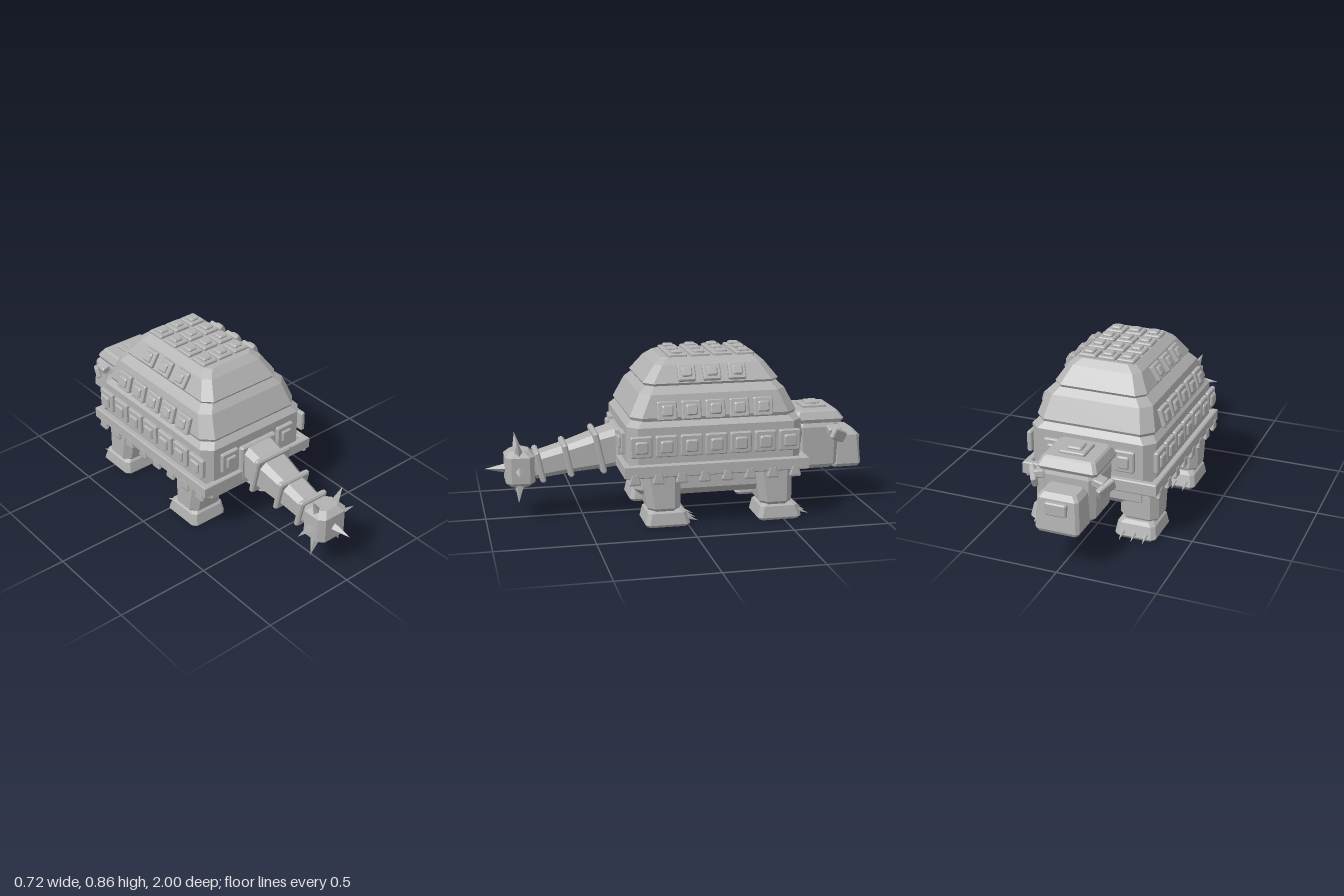
import * as THREE from 'three';

const grey = new THREE.MeshStandardMaterial({ color: 0xb2b2b2 });
grey.name = 'stoneGrey';

function flat(geo) {
  const g = geo.index ? geo.toNonIndexed() : geo;
  g.computeVertexNormals();
  return g;
}

function add(parent, name, geo) {
  const m = new THREE.Mesh(flat(geo), grey);
  m.name = name;
  parent.add(m);
  return m;
}

// Stack of corner-cut rectangles: each ring is [y, x0, x1, z0, z1, cut]
function loft(rings) {
  const pos = [], idx = [];
  for (const [y, x0, x1, z0, z1, c] of rings) {
    for (const [x, z] of [[x1, z0 + c], [x1, z1 - c], [x1 - c, z1], [x0 + c, z1],
      [x0, z1 - c], [x0, z0 + c], [x0 + c, z0], [x1 - c, z0]]) pos.push(x, y, z);
  }
  const last = (rings.length - 1) * 8;
  for (let r = 0; r < last; r += 8) {
    for (let i = 0; i < 8; i++) {
      const j = (i + 1) % 8;
      idx.push(r + i, r + 8 + i, r + 8 + j, r + i, r + 8 + j, r + j);
    }
  }
  for (let i = 1; i < 7; i++) idx.push(0, i, i + 1, last, last + i + 1, last + i);
  const g = new THREE.BufferGeometry();
  g.setAttribute('position', new THREE.Float32BufferAttribute(pos, 3));
  g.setIndex(idx);
  return g;
}

// Box with all edges cut, standing between y0 and y1
function cutBox(x0, x1, y0, y1, z0, z1, c) {
  const a = [x0 + c, x1 - c, z0 + c, z1 - c, c], b = [x0, x1, z0, z1, c];
  return loft([[y0, ...a], [y0 + c, ...b], [y1 - c, ...b], [y1, ...a]]);
}

// Square armour plate with a raised stud, facing local +y
function studPlate(parent, name, w, d, p, rx = 0, rz = 0, h = 0.02) {
  const g = new THREE.Group();
  g.name = name;
  add(g, 'plate', cutBox(-w / 2, w / 2, -0.005, h, -d / 2, d / 2, 0.005));
  add(g, 'stud', cutBox(-w * 0.29, w * 0.29, h - 0.005, h + 0.013, -d * 0.29, d * 0.29, 0.006));
  g.position.set(...p);
  g.rotation.set(rx, 0, rz);
  parent.add(g);
}

// Pointed cone from a base point to a tip
function spike(parent, name, from, to, r, sides = 4) {
  const a = new THREE.Vector3(...from), b = new THREE.Vector3(...to);
  const dir = b.clone().sub(a);
  const m = add(parent, name, new THREE.ConeGeometry(r, dir.length(), sides));
  m.position.copy(a).addScaledVector(dir, 0.5);
  m.quaternion.setFromUnitVectors(new THREE.Vector3(0, 1, 0), dir.normalize());
}

function buildShell(root) {
  add(root, 'belly', cutBox(-0.29, 0.29, 0.15, 0.36, -0.55, 0.27, 0.04));
  add(root, 'lowerShell', loft([
    [0.28, -0.325, 0.325, -0.59, 0.31, 0.05], [0.52, -0.325, 0.325, -0.59, 0.31, 0.05],
    [0.553, -0.295, 0.295, -0.56, 0.28, 0.05]]));
  add(root, 'middleShell', loft([
    [0.545, -0.3, 0.3, -0.56, 0.28, 0.05], [0.565, -0.308, 0.308, -0.57, 0.29, 0.055],
    [0.675, -0.277, 0.277, -0.515, 0.235, 0.05], [0.71, -0.235, 0.235, -0.48, 0.2, 0.04]]));
  add(root, 'upperShell', loft([
    [0.705, -0.23, 0.23, -0.48, 0.2, 0.04], [0.722, -0.24, 0.24, -0.49, 0.21, 0.045],
    [0.805, -0.19, 0.19, -0.425, 0.145, 0.035], [0.836, -0.148, 0.148, -0.39, 0.105, 0.03]]));

  // Hollow belt around the lower shell
  const outline = (x, z) => [[-x, -z], [x, -z], [x, z], [-x, z]].map(p => new THREE.Vector2(...p));
  const shape = new THREE.Shape(outline(0.347, 0.47));
  shape.holes.push(new THREE.Path(outline(0.322, 0.445)));
  const belt = new THREE.ExtrudeGeometry(shape, {
    depth: 0.055, bevelEnabled: true, bevelSize: 0.005, bevelThickness: 0.005, bevelSegments: 1 });
  belt.rotateX(-Math.PI / 2);
  add(root, 'belt', belt).position.set(0, 0.275, -0.142);

  // Armour plates on top, sides and ends
  for (let r = 0; r < 4; r++) {
    for (const x of [-0.1, 0, 0.1]) studPlate(root, 'topPlate', 0.09, 0.095, [x, 0.833, -0.33 + r * 0.117], 0, 0, 0.018);
  }
  for (const s of [-1, 1]) {
    const row = (name, n, gap, w, h, x, y, tilt) => {
      for (let i = 0; i < n; i++) {
        studPlate(root, name, h, w, [s * x, y, -0.135 + (i - (n - 1) / 2) * gap], 0, -s * tilt);
      }
    };
    row('lowerSidePlate', 7, 0.127, 0.11, 0.108, 0.325, 0.427, Math.PI / 2);
    row('middleSidePlate', 5, 0.123, 0.1, 0.095, 0.3, 0.597, 1.3);
    row('upperSidePlate', 3, 0.13, 0.09, 0.085, 0.22, 0.765, 1.02);
    studPlate(root, 'frontPlate', 0.105, 0.11, [s * 0.183, 0.427, 0.31], Math.PI / 2);
    studPlate(root, 'backPlate', 0.105, 0.11, [s * 0.183, 0.427, -0.59], -Math.PI / 2);

    // Fringe of flared tabs below the belt
    for (let i = 0; i < 8; i++) {
      const tab = loft([
        [0.236, -0.007, 0.007, -0.026, 0.026, 0.004], [0.245, -0.01, 0.01, -0.03, 0.03, 0.004],
        [0.29, -0.01, 0.01, -0.017, 0.017, 0.004]]);
      add(root, 'fringeTab', tab).position.set(s * 0.346, 0, 0.28 - i * 0.118);
    }
  }
}

function buildLegs(root) {
  for (const s of [-1, 1]) {
    for (const z of [0.13, -0.455]) {
      const leg = new THREE.Group();
      leg.name = z > 0 ? 'frontLeg' : 'backLeg';
      leg.position.set(s * 0.23, 0, z);
      add(leg, 'shin', loft([
        [0.08, -0.085, 0.085, -0.08, 0.065, 0.03], [0.1, -0.1, 0.1, -0.09, 0.08, 0.035],
        [0.31, -0.1, 0.1, -0.09, 0.115, 0.035]]));
      add(leg, 'foot', loft([
        [0, -0.09, 0.09, -0.125, 0.08, 0.015], [0.016, -0.107, 0.107, -0.137, 0.093, 0.02],
        [0.075, -0.098, 0.098, -0.118, 0.08, 0.02], [0.09, -0.08, 0.08, -0.1, 0.065, 0.02]]));
      for (const x of [-0.06, 0, 0.06]) spike(leg, 'claw', [x, 0.043, -0.115], [x, 0.014, -0.186], 0.013, 6);
      root.add(leg);
    }
  }
}

function buildHead(root) {
  const head = new THREE.Group();
  head.name = 'head';
  add(head, 'neck', cutBox(-0.11, 0.11, 0.25, 0.46, -0.66, -0.56, 0.02));
  add(head, 'skull', loft([
    [0.2, -0.105, 0.105, -0.835, -0.65, 0.025], [0.225, -0.13, 0.13, -0.855, -0.63, 0.03],
    [0.43, -0.14, 0.14, -0.855, -0.62, 0.03], [0.47, -0.12, 0.12, -0.84, -0.63, 0.03]]));
  add(head, 'browCap', loft([
    [0.455, -0.145, 0.145, -0.86, -0.61, 0.015], [0.475, -0.153, 0.153, -0.872, -0.605, 0.015],
    [0.512, -0.135, 0.135, -0.845, -0.62, 0.015], [0.52, -0.125, 0.125, -0.835, -0.63, 0.015]]));
  studPlate(head, 'crownPlate', 0.13, 0.13, [0, 0.515, -0.735]);
  add(head, 'snout', loft([
    [0.197, -0.1, 0.1, -0.98, -0.84, 0.012], [0.215, -0.113, 0.113, -0.99, -0.84, 0.015],
    [0.37, -0.105, 0.105, -0.975, -0.84, 0.015], [0.395, -0.085, 0.085, -0.955, -0.85, 0.015]]));
  add(head, 'nosePlate', cutBox(-0.055, 0.055, 0.295, 0.36, -0.998, -0.96, 0.006));
  for (const s of [-1, 1]) {
    // Bent brow horn: a short arm with a drooping flap
    const arm = add(head, 'hornArm', cutBox(-0.03, 0.03, -0.02, 0.02, -0.035, 0.035, 0.006));
    arm.position.set(s * 0.15, 0.415, -0.815);
    arm.rotation.z = -s * 0.25;
    const flap = add(head, 'hornFlap', cutBox(-0.014, 0.014, -0.03, 0.03, -0.05, 0.05, 0.006));
    flap.position.set(s * 0.185, 0.395, -0.83);
    flap.rotation.set(-0.45, s * 0.5, 0);
  }
  root.add(head);
}

function buildTail(root) {
  const tail = new THREE.Group();
  tail.name = 'tail';
  add(tail, 'tailMount', cutBox(-0.115, 0.115, 0.27, 0.472, 0.29, 0.335, 0.008));

  // Tapered segments and rings along a drooping axis
  const boom = new THREE.Group();
  boom.name = 'tailBoom';
  boom.position.set(0, 0.37, 0.3);
  boom.rotation.x = Math.PI / 2 + 0.21;
  const seg = (t, w, h, c) => [t, -w, w, -h, h, c];
  for (const [t0, t1, w0, w1, h0, h1] of [
    [0, 0.13, 0.1, 0.092, 0.1, 0.09], [0.13, 0.29, 0.09, 0.075, 0.09, 0.072],
    [0.29, 0.46, 0.075, 0.065, 0.075, 0.062]]) {
    add(boom, 'tailSegment', loft([seg(t0, w0, h0, 0.03), seg(t1, w1, h1, 0.025)]));
  }
  for (const [t, w, h] of [[0.12, 0.112, 0.11], [0.285, 0.097, 0.088], [0.43, 0.085, 0.082]]) {
    add(boom, 'tailRing', cutBox(-w, w, t - 0.015, t + 0.015, -h, h, 0.008));
  }
  tail.add(boom);

  // Club with spikes
  add(tail, 'club', cutBox(-0.09, 0.09, 0.175, 0.365, 0.745, 0.895, 0.028));
  const y = 0.268, z = 0.825;
  spike(tail, 'tipSpike', [0, y, 0.885], [0, y, 1], 0.026);
  for (const s of [-1, 1]) {
    spike(tail, 'sideSpike', [s * 0.08, y, z], [s * 0.19, y, z + 0.01], 0.024);
    for (const v of [-1, 1]) {
      spike(tail, 'cornerSpike', [s * 0.055, y + v * 0.07, z], [s * 0.097, y + v * 0.163, z + 0.01], 0.027);
    }
  }
  root.add(tail);
}

export function createModel() {
  const root = new THREE.Group();
  root.name = 'armouredTurtle';
  buildShell(root);
  buildLegs(root);
  buildHead(root);
  buildTail(root);
  return root;
}
